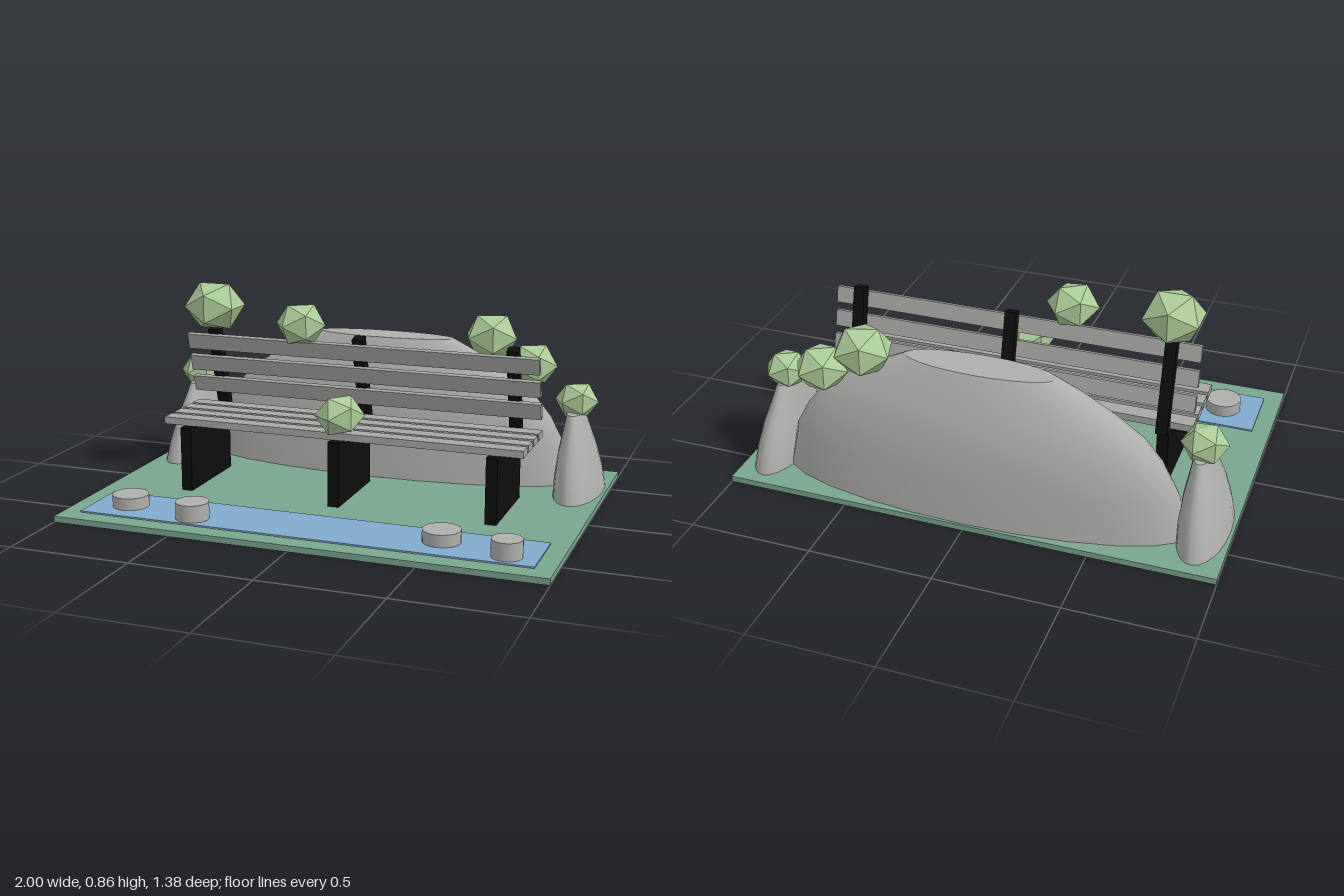
import * as THREE from 'three';

const mat = (name, color) => {
  const m = new THREE.MeshStandardMaterial({ color });
  m.name = name;
  return m;
};

export function createModel() {
  const group = new THREE.Group();
  const grass = mat('grass green', 0x7aa58f);
  const water = mat('water blue', 0x80a8cc);
  const rock = mat('rock grey', 0xaeaeac);
  const slatGrey = mat('slat grey', 0xa6a6a4);
  const black = mat('iron black', 0x0e0e0e);
  const leaf = mat('leaf green', 0xabcb98);
  leaf.flatShading = true;

  const add = (name, geometry, material, x = 0, y = 0, z = 0, parent = group) => {
    const mesh = new THREE.Mesh(geometry, material);
    mesh.name = name;
    mesh.position.set(x, y, z);
    parent.add(mesh);
    return mesh;
  };
  const box = (name, w, h, d, material, x, y, z, parent) =>
    add(name, new THREE.BoxGeometry(w, h, d), material, x, y, z, parent);

  // Ground and pond
  box('ground', 2, 0.025, 1.38, grass, 0, 0.0125, 0);
  box('pond', 1.85, 0.006, 0.275, water, 0, 0.028, 0.4725);

  // Stepping stones: x, z, radius, top
  for (const [x, z, r, top] of [
    [-0.77, 0.475, 0.074, 0.08], [-0.465, 0.535, 0.067, 0.1],
    [0.535, 0.46, 0.075, 0.08], [0.805, 0.535, 0.06, 0.1],
  ]) {
    add('steppingStone', new THREE.CylinderGeometry(r, r, top - 0.025, 20), rock, x, (top + 0.025) / 2, z);
  }

  // Elliptical mounds with a flat top; lean shifts the top sideways
  const mound = (name, profile, rx, rz, x, z, lean = 0) => {
    const mound = new THREE.Group();
    mound.name = name;
    mound.position.set(x, 0, z);
    group.add(mound);
    const [topR, topY] = profile[profile.length - 1];
    const side = new THREE.LatheGeometry(profile.map(([r, y]) => new THREE.Vector2(r, y)), 24);
    side.scale(rx, 1, rz);
    const shear = new THREE.Matrix4().set(1, lean / topY, 0, 0, 0, 1, 0, 0, 0, 0, 1, 0, 0, 0, 0, 1);
    side.applyMatrix4(shear);
    add(name + 'Side', side, rock, 0, 0, 0, mound);
    const cap = new THREE.CircleGeometry(topR, 24).rotateX(-Math.PI / 2).scale(rx, 1, rz);
    add(name + 'Top', cap, rock, lean, topY, 0, mound);
  };
  mound('hill', [[1, 0.025], [0.95, 0.2], [0.88, 0.31], [0.79, 0.4], [0.66, 0.48], [0.5, 0.56], [0.365, 0.615]],
    0.84, 0.215, 0, -0.467);
  for (const s of [-1, 1]) {
    mound('sideRock', [[1, 0.025], [0.92, 0.1], [0.74, 0.2], [0.5, 0.295], [0.35, 0.36]],
      0.1, 0.255, s * 0.89, -0.385, -s * 0.028);
  }

  // Bench supports and backrest, which tilts towards the front
  const tilt = 0.25;
  for (const x of [-0.655, 0, 0.655]) {
    box('benchLeg', 0.047, 0.27, 0.385, black, x, 0.16, 0.0075);
    box('backPost', 0.047, 0.39, 0.045, black, x, 0.476, -0.152).rotation.x = tilt;
  }
  for (const z of [0.13, 0.042, -0.047, -0.136]) {
    box('seatSlat', 1.54, 0.03, 0.068, slatGrey, 0, 0.31, z);
  }
  for (const [y, z] of [[0.605, -0.088], [0.507, -0.113], [0.41, -0.14]]) {
    box('backSlat', 1.54, 0.068, 0.022, slatGrey, 0, y, z).rotation.x = tilt;
  }

  // Faceted foliage clumps: x, y, z, radius, turn
  for (const [x, y, z, r, turn] of [
    [-0.655, 0.76, -0.108, 0.13, 0], [-0.24, 0.715, -0.062, 0.108, 0.6],
    [0.015, 0.4, 0.16, 0.102, 0.9], [0.46, 0.625, -0.52, 0.122, 0.3],
    [0.64, 0.515, -0.52, 0.112, 0.5], [-0.863, 0.403, -0.39, 0.093, 0.7],
    [0.86, 0.403, -0.405, 0.093, 0.5],
  ]) {
    const clump = add('foliage', new THREE.IcosahedronGeometry(r, 0), leaf, x, y, z);
    clump.scale.y = 0.87;
    clump.rotation.y = turn;
  }

  return group;
}
